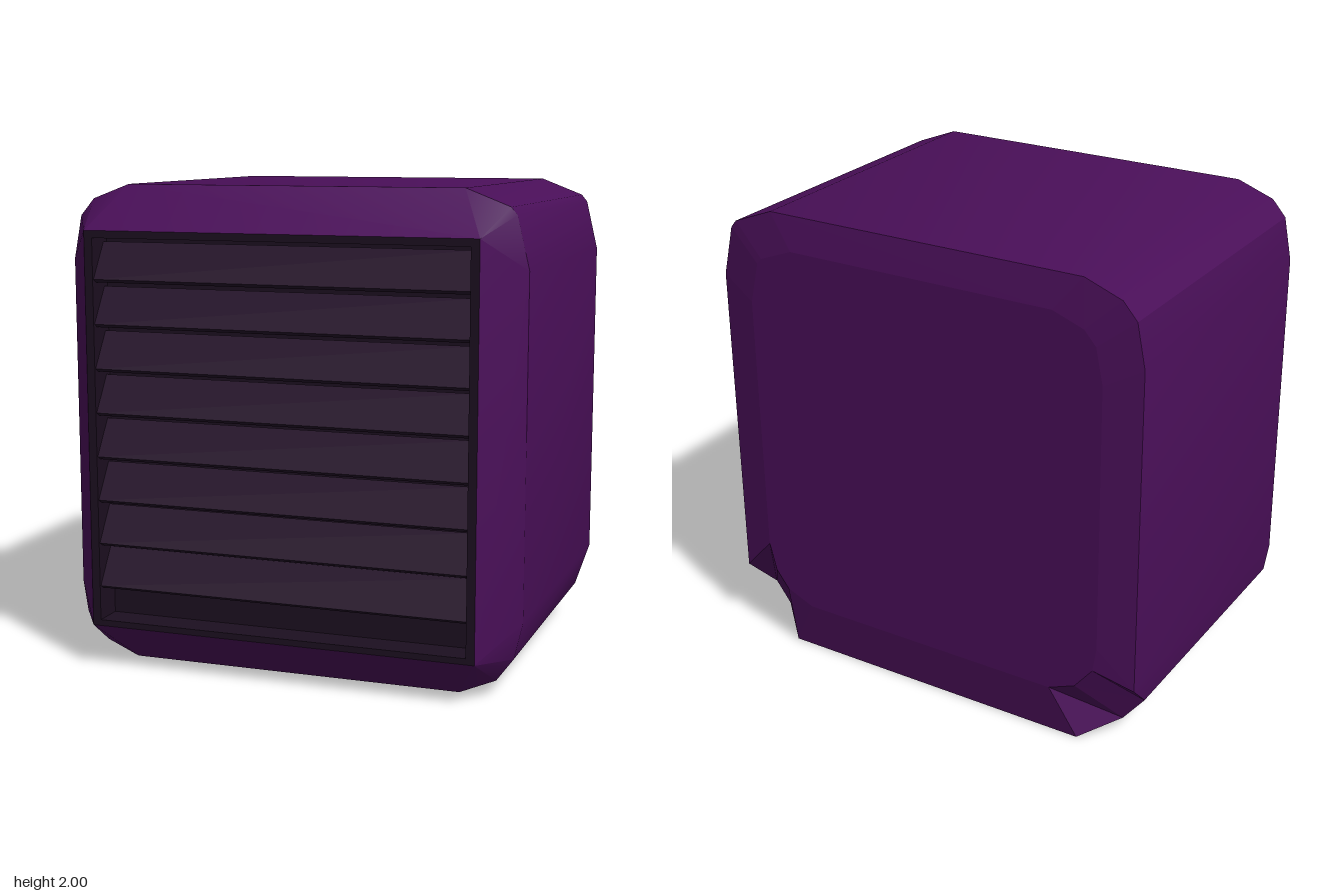
import * as THREE from 'three';
import { toCreasedNormals } from 'three/addons/utils/BufferGeometryUtils.js';

// Skin a list of closed rings (front to back, counter-clockwise seen from the front)
function skin(rings) {
  const pos = [];
  const tri = (a, b, c) => {
    const n = b.clone().sub(a).cross(c.clone().sub(a));
    if (n.length() > 1e-6) for (const p of [a, b, c]) pos.push(p.x, p.y, p.z);
  };
  for (let r = 0; r < rings.length - 1; r++) {
    const A = rings[r], B = rings[r + 1];
    for (let i = 0; i < A.length; i++) {
      const j = (i + 1) % A.length;
      tri(A[i], B[i], B[j]);
      tri(A[i], B[j], A[j]);
    }
  }
  const geo = new THREE.BufferGeometry();
  geo.setAttribute('position', new THREE.Float32BufferAttribute(pos, 3));
  geo.computeVertexNormals();
  return geo;
}

const ring = (points, z) => points.map(([x, y]) => new THREE.Vector3(x, y, typeof z === 'function' ? z(x, y) : z));

function rectPath(PathType, w, y0, y1) {
  const p = new PathType();
  p.moveTo(-w, y0);
  p.lineTo(w, y0);
  p.lineTo(w, y1);
  p.lineTo(-w, y1);
  p.closePath();
  return p;
}

export function createModel() {
  const model = new THREE.Group();
  model.name = 'louveredCabinet';
  const purple = new THREE.MeshStandardMaterial({ color: 0x4a0f59 });
  const purpleFlat = new THREE.MeshStandardMaterial({ color: 0x4a0f59, flatShading: true });
  const frameDark = new THREE.MeshStandardMaterial({ color: 0x1c0f20 });
  const slatDark = new THREE.MeshStandardMaterial({ color: 0x241029 });

  const add = (name, geo, mat, parent = model) => {
    const mesh = new THREE.Mesh(geo, mat);
    mesh.name = name;
    parent.add(mesh);
    return mesh;
  };

  // Outline with four irregularly bevelled corners, four points each
  const outline = [
    [0.71, 0], [0.86, 0.065], [0.93, 0.16], [0.965, 0.31],
    [0.965, 1.69], [0.915, 1.9], [0.89, 1.93], [0.71, 2],
    [-0.71, 2], [-0.87, 1.94], [-0.93, 1.87], [-0.965, 1.69],
    [-0.965, 0.31], [-0.945, 0.18], [-0.85, 0.06], [-0.71, 0],
  ];
  // Front rim: each corner group collapses to one corner of a rectangle
  const frontRim = outline.map(([x, y]) => [0.82 * Math.sign(x), y < 1 ? 0.18 : 1.82]);
  // Lower back corners are chipped forward
  const backZ = (x, y) => (y < 0.2 && y > 0.01 ? -0.61 : -0.75);
  const backEdge = ring(outline, backZ);

  // Shell: front chamfer and straight sides
  const shell = skin([ring(frontRim, 0.78), ring(outline, 0.59), backEdge]);
  add('shell', toCreasedNormals(shell, 0.5), purple);

  // Back panel: shallow raised plate with a sloping border
  const plate = outline.map(([x, y]) => [x * 0.84, 1.04 + (y - 1) * 0.82]);
  const centre = outline.map(() => [0, 1.04]);
  add('backPanel', skin([backEdge, ring(plate, -0.78), ring(centre, -0.78)]), purpleFlat);

  // Grille frame around the opening
  const grille = new THREE.Group();
  grille.name = 'grille';
  model.add(grille);
  const frameShape = rectPath(THREE.Shape, 0.82, 0.18, 1.82);
  frameShape.holes.push(rectPath(THREE.Path, 0.785, 0.205, 1.79));
  const frameGeo = new THREE.ExtrudeGeometry(frameShape, { depth: 0.15, bevelEnabled: false });
  frameGeo.translate(0, 0, 0.63);
  add('grilleFrame', frameGeo, frameDark, grille);

  // Dark wall behind the slats
  const wall = add('grilleBack', new THREE.BoxGeometry(1.6, 1.62, 0.02), frameDark, grille);
  wall.position.set(0, 1, 0.64);

  // Eight slats, leaning back at the top
  const slatGeo = new THREE.BoxGeometry(1.57, 0.175, 0.025);
  for (let i = 0; i < 8; i++) {
    const slat = add('slat', slatGeo, slatDark, grille);
    slat.position.set(0, 1.69 - i * 0.182, 0.715);
    slat.rotation.x = -0.57;
  }
  return model;
}
